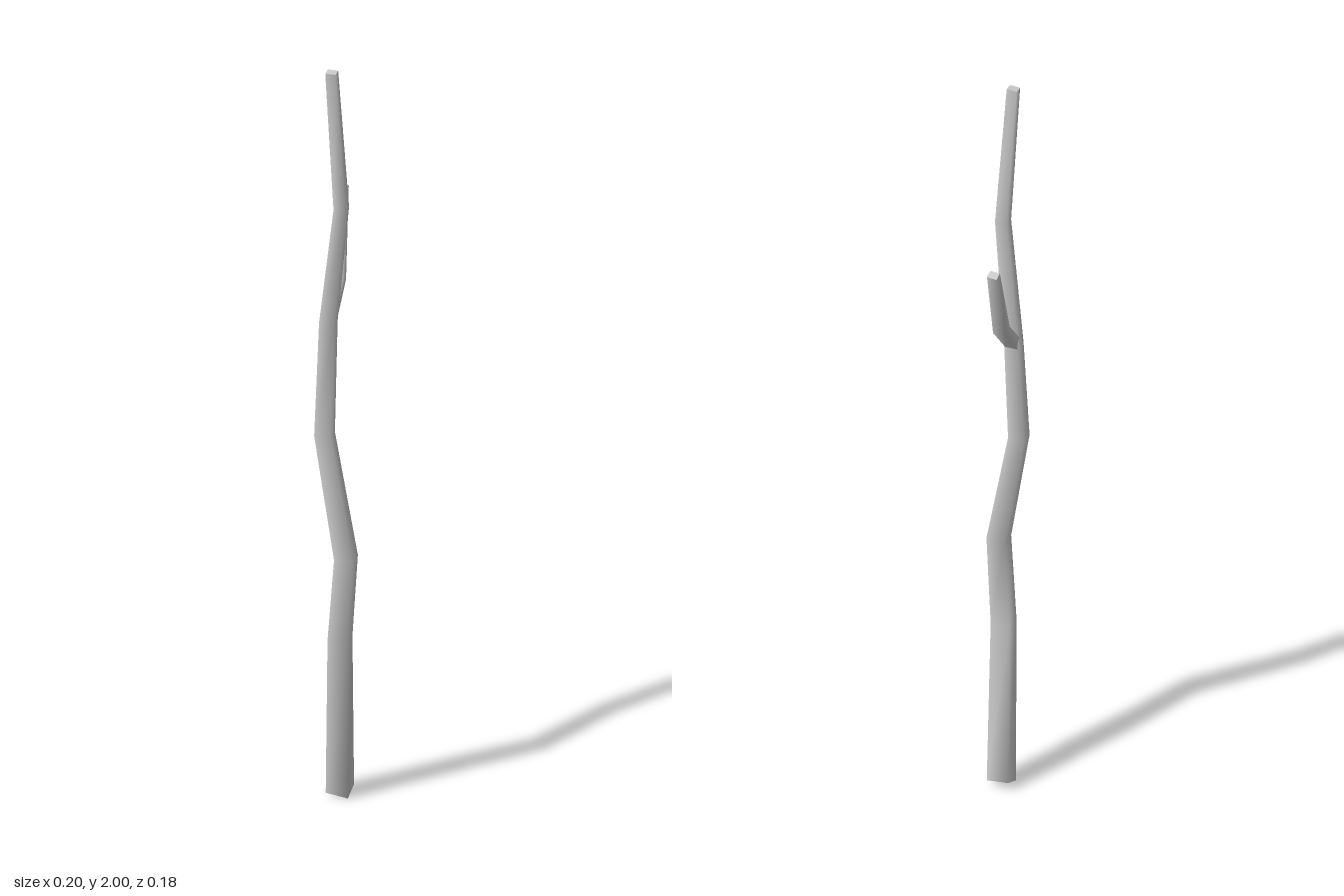
import * as THREE from 'three';

const SIDE = new THREE.Vector3(0.91, 0, -0.41);
const CORNERS = [[-1, -1], [-1, 1], [1, 1], [1, -1]];

// Four-sided limb swept through [x, y, z, half width] stations, with flat end caps
function limb(name, stations, material, startNormal) {
  const points = stations.map(([x, y, z]) => new THREE.Vector3(x, y, z));
  const last = points.length - 1;
  const positions = [], index = [];
  points.forEach((p, i) => {
    const t = new THREE.Vector3();
    if (i > 0) t.add(p.clone().sub(points[i - 1]).normalize());
    if (i < last) t.add(points[i + 1].clone().sub(p).normalize());
    if (i === 0 && startNormal) t.copy(startNormal);
    t.normalize();
    const u = SIDE.clone().addScaledVector(t, -SIDE.dot(t)).normalize();
    const v = new THREE.Vector3().crossVectors(u, t);
    const h = stations[i][3];
    for (const [a, b] of CORNERS) {
      const c = p.clone().addScaledVector(u, a * h * 0.85).addScaledVector(v, b * h * 1.04);
      positions.push(c.x, c.y, c.z);
    }
  });
  for (let i = 0; i < last; i++) {
    for (let k = 0; k < 4; k++) {
      const a = i * 4 + k, b = i * 4 + (k + 1) % 4;
      index.push(a, b, b + 4, a, b + 4, a + 4);
    }
  }
  // Caps use their own vertices so their edges stay sharp
  const n = positions.length / 3;
  positions.push(...positions.slice(0, 12), ...positions.slice(last * 12, last * 12 + 12));
  index.push(n, n + 2, n + 1, n, n + 3, n + 2);
  index.push(n + 4, n + 5, n + 6, n + 4, n + 6, n + 7);

  const geometry = new THREE.BufferGeometry();
  geometry.setAttribute('position', new THREE.Float32BufferAttribute(positions, 3));
  geometry.setIndex(index);
  geometry.computeVertexNormals();
  const mesh = new THREE.Mesh(geometry, material);
  mesh.name = name;
  return mesh;
}

export function createModel() {
  const group = new THREE.Group();
  group.name = 'branchedStick';
  const material = new THREE.MeshStandardMaterial({ color: 0xcccccc });

  // Crooked main stem with a slanted cut at the foot
  group.add(limb('mainStem', [
    [-0.008, 0.016, -0.004, 0.027],
    [-0.046, 0.45, 0.03, 0.024],
    [-0.055, 0.68, 0.057, 0.023],
    [-0.068, 1.0, 0.0, 0.02],
    [-0.043, 1.29, -0.01, 0.018],
    [-0.056, 1.62, 0.043, 0.015],
    [-0.085, 1.998, 0.038, 0.0125],
  ], material, new THREE.Vector3(-0.35, 1, 0.3)));

  // Forked twig leaving the stem toward the back left
  group.add(limb('sideTwig', [
    [-0.043, 1.29, -0.01, 0.016],
    [0.02, 1.375, -0.035, 0.016],
    [0.082, 1.587, -0.075, 0.012],
  ], material));

  return group;
}
